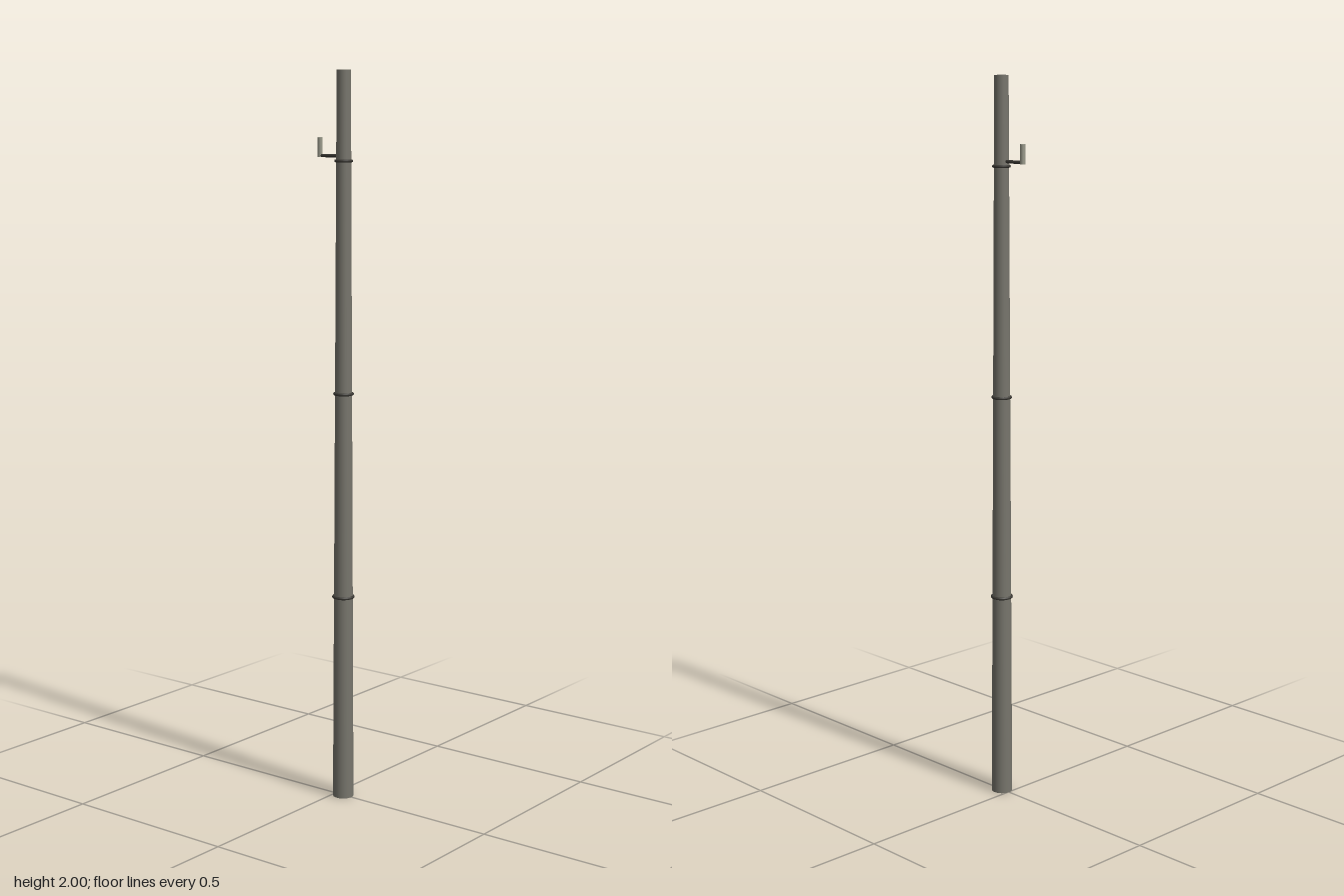
import * as THREE from 'three';

const HEIGHT = 2, R_BASE = 0.029, R_TOP = 0.019, POLE_Z = 0.027;
const radiusAt = (y) => R_BASE + (R_TOP - R_BASE) * (y / HEIGHT);

export function createModel() {
  const group = new THREE.Group();
  const paint = (color) => new THREE.MeshStandardMaterial({ color });
  const poleMat = paint(0x77756c), darkMat = paint(0x3a3833), pinMat = paint(0x99998a);

  const add = (name, geometry, material, x, y, z) => {
    const mesh = new THREE.Mesh(geometry, material);
    mesh.name = name;
    mesh.position.set(x, y, z);
    group.add(mesh);
    return mesh;
  };

  // Tapered pole
  add('pole', new THREE.CylinderGeometry(R_TOP, R_BASE, HEIGHT, 24), poleMat, 0, HEIGHT / 2, POLE_Z);

  // Bands around the pole
  for (const y of [0.575, 1.14, 1.763]) {
    const band = new THREE.TorusGeometry(radiusAt(y) + 0.001, 0.004, 8, 24).rotateX(Math.PI / 2);
    add('band', band, darkMat, 0, y, POLE_Z);
  }

  // Bracket arm reaching backwards
  const armFront = 0.02, armBack = -0.053, armY = 1.776;
  const arm = new THREE.CylinderGeometry(0.0045, 0.0045, armFront - armBack, 10).rotateX(Math.PI / 2);
  add('bracketArm', arm, darkMat, 0, armY, (armFront + armBack) / 2);

  // Upright insulator pin at the end of the arm
  add('insulatorPin', new THREE.CylinderGeometry(0.007, 0.007, 0.052, 12), pinMat, 0, 1.798, armBack);

  return group;
}
